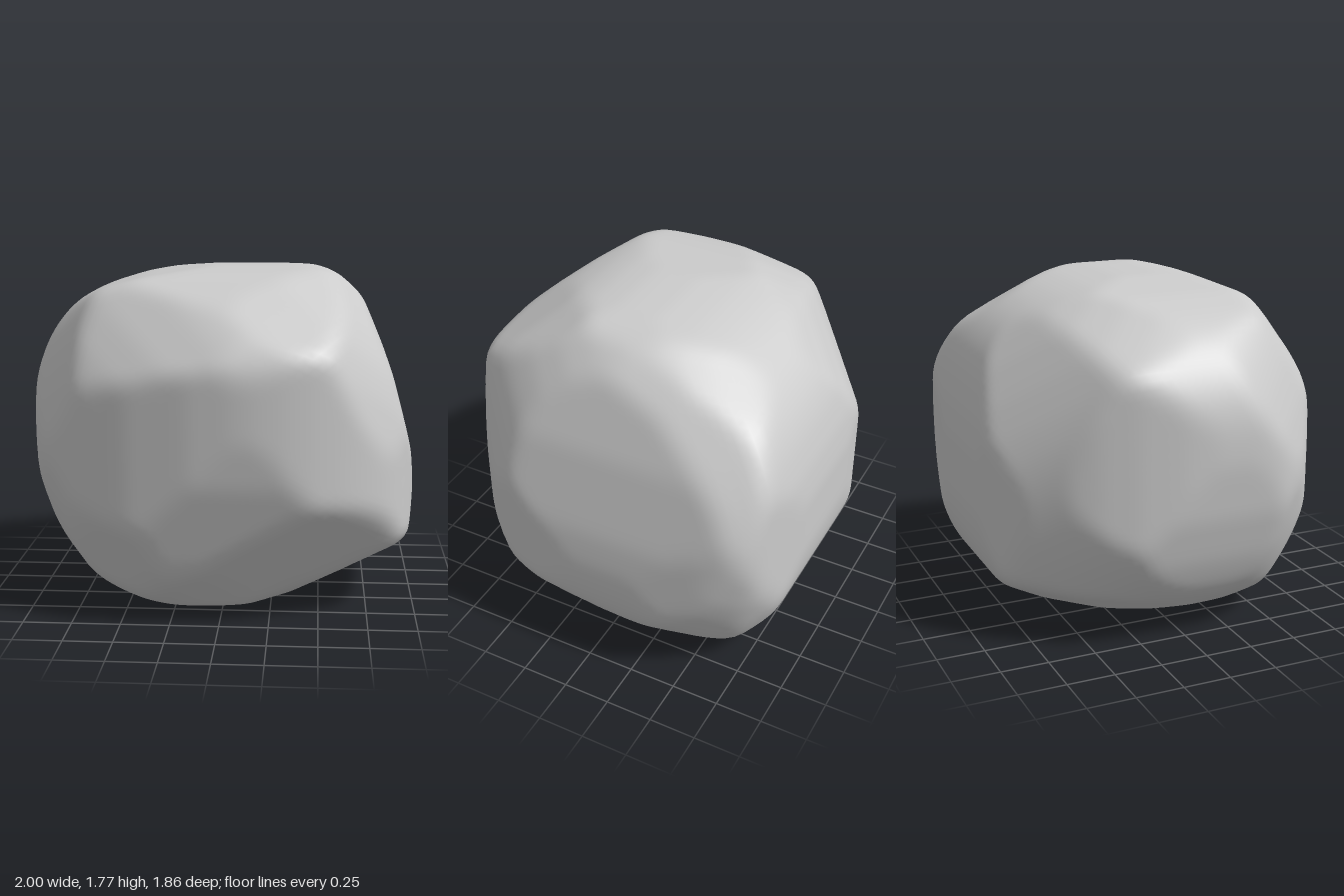
import * as THREE from 'three';
import { mergeVertices } from 'three/addons/utils/BufferGeometryUtils.js';

const MID = 0.885; // height of the boulder's middle
const FACETS = 48; // cutting planes around each outline
const SAMPLES = 20, WEAR = 0.07; // how far the edges are worn down

// Outlines around the middle, each with the azimuth and elevation it is cut along
const outlines = [
  // straight: front to back, side to side, top to bottom
  { azimuth: 0, elevation: 0, points: [[-0.3, 0.855], [0.52, 0.86], [0.78, 0.56], [1, -0.3], [0.74, -0.78],
    [-0.1, -0.88], [-0.77, -0.67], [-1, 0.15], [-0.83, 0.66]] },
  { azimuth: -90, elevation: 0, points: [[0.4, 0.84], [-0.35, 0.84], [-0.8, 0.52], [-0.93, -0.18], [-0.74, -0.74],
    [0.02, -0.865], [0.62, -0.82], [0.85, -0.31], [0.915, 0.45]] },
  { azimuth: 0, elevation: -90, points: [[-0.45, -0.88], [0.2, -0.92], [0.78, -0.865], [0.93, -0.72], [1, 0],
    [0.84, 0.65], [0.13, 0.93], [-0.82, 0.64], [-1, 0.1], [-0.82, -0.55]] },
  // diagonal: these slant the corners
  { azimuth: 45, elevation: 30, points: [[-1.04, 0.12], [-0.68, 0.82], [0.2, 0.93], [1.04, 0.47], [1.19, -0.1],
    [0.78, -0.8], [-0.43, -0.93], [-0.92, -0.4]] },
  { azimuth: 225, elevation: 30, points: [[-1.18, -0.15], [-1.06, 0.36], [-0.34, 0.98], [0.1, 0.9], [0.54, 0.82],
    [1.04, 0.15], [0.83, -0.66], [0.1, -0.95], [-0.8, -0.82]] },
  { azimuth: 135, elevation: -30, points: [[-1.07, -0.1], [-0.88, 0.52], [-0.3, 0.97], [0.46, 0.84], [0.98, 0.1],
    [0.75, -0.68], [-0.14, -1.03], [-0.95, -0.32]] },
];

// Planes touching a smooth curve through the outline, stored as normal / distance
function cuttingPlanes({ azimuth, elevation, points }) {
  const az = THREE.MathUtils.degToRad(azimuth), el = THREE.MathUtils.degToRad(elevation);
  const right = new THREE.Vector3(Math.cos(az), 0, -Math.sin(az));
  const up = new THREE.Vector3(-Math.sin(az) * Math.sin(el), Math.cos(el), -Math.cos(az) * Math.sin(el));
  const corners = points.map(([u, v]) => new THREE.Vector3(u, v, 0));
  const curve = new THREE.CatmullRomCurve3(corners, true, 'catmullrom', 0.5).getPoints(90);
  return Array.from({ length: FACETS }, (_, i) => {
    const t = (i / FACETS) * Math.PI * 2, c = Math.cos(t), s = Math.sin(t);
    const distance = Math.max(...curve.map((p) => c * p.x + s * p.y));
    return right.clone().multiplyScalar(c).addScaledVector(up, s).divideScalar(distance);
  });
}

// Chisels a sphere with the planes, averaging over a small cone to wear down the edges
function boulderGeometry() {
  const planes = outlines.flatMap(cuttingPlanes);
  const inverseRadius = (d) => planes.reduce((m, n) => Math.max(m, n.dot(d)), 0);

  const sphere = new THREE.IcosahedronGeometry(1, 28);
  sphere.deleteAttribute('normal');
  sphere.deleteAttribute('uv');
  const geo = mergeVertices(sphere, 1e-4);

  const pos = geo.attributes.position;
  const dir = new THREE.Vector3(), sample = new THREE.Vector3();
  const a = new THREE.Vector3(), b = new THREE.Vector3();
  for (let i = 0; i < pos.count; i++) {
    dir.fromBufferAttribute(pos, i);
    a.set(Math.abs(dir.y) > 0.8 ? 1 : 0, Math.abs(dir.y) > 0.8 ? 0 : 1, 0).cross(dir).normalize();
    b.crossVectors(dir, a);
    let sum = 0;
    for (let k = 0; k < SAMPLES; k++) {
      const r = WEAR * Math.sqrt((k + 0.5) / SAMPLES), t = k * 2.39996;
      sample.copy(dir).addScaledVector(a, r * Math.cos(t)).addScaledVector(b, r * Math.sin(t));
      sum += inverseRadius(sample);
    }
    dir.multiplyScalar(SAMPLES / sum);
    pos.setXYZ(i, dir.x, dir.y, dir.z);
  }
  geo.computeVertexNormals();
  return geo;
}

export function createModel() {
  const boulder = new THREE.Mesh(boulderGeometry(), new THREE.MeshStandardMaterial({ color: 0xcccccc }));
  boulder.name = 'boulder';
  boulder.position.y = MID;
  const group = new THREE.Group();
  group.name = 'rock';
  group.add(boulder);
  return group;
}
